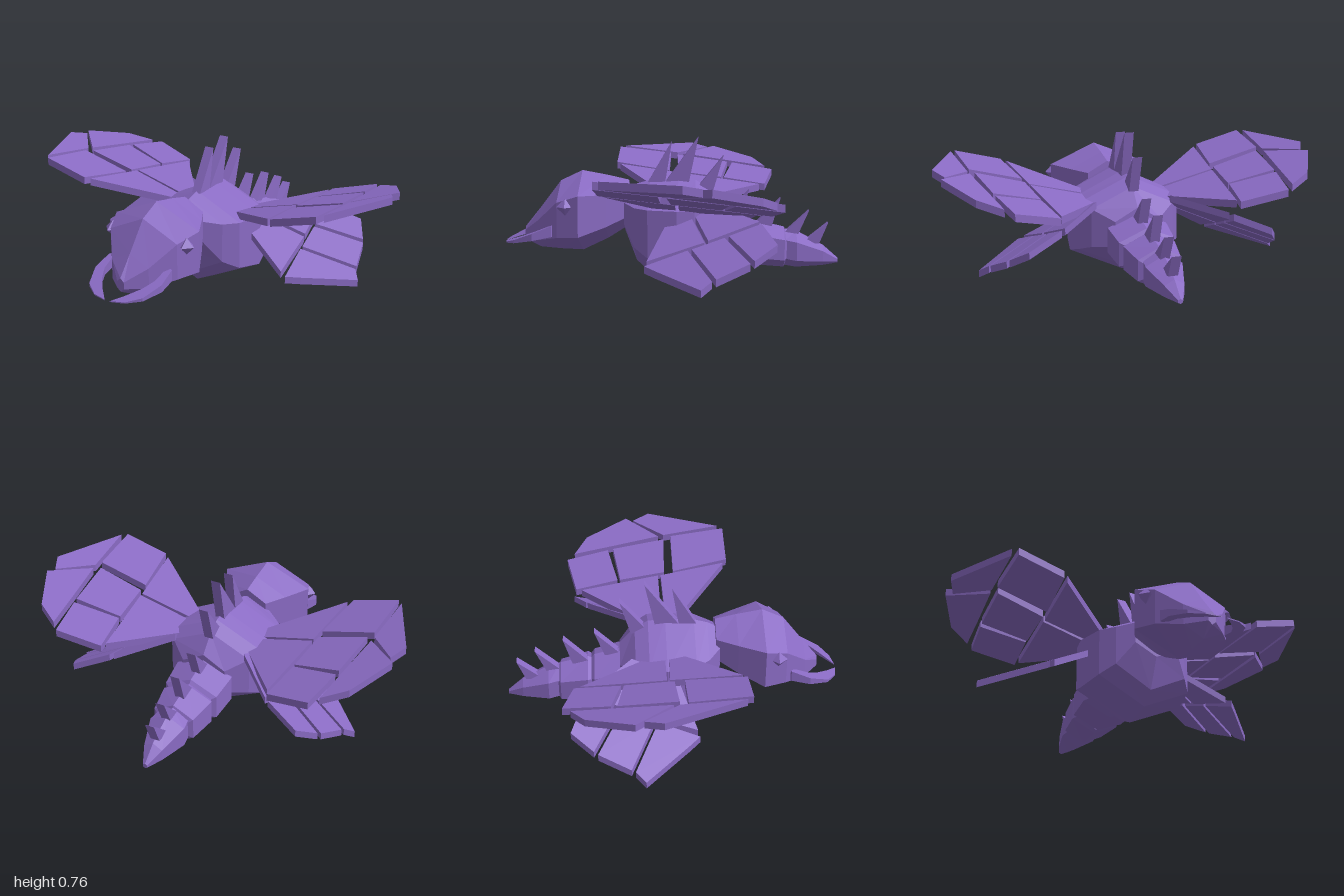
import * as THREE from 'three';

const purple = new THREE.MeshStandardMaterial({ color: 0x8a6bc4, flatShading: true });
purple.name = 'purple';

function add(group, name, geometry) {
  const mesh = new THREE.Mesh(geometry, purple);
  mesh.name = name;
  group.add(mesh);
}

// Six-sided body section along z; each ring is [z, top, bottom, halfWidth], front first
function loft(rings) {
  const pos = [];
  const corners = rings.map(([z, top, bot, w]) => {
    const q = (top - bot) / 4;
    return [[0, top, z], [w, top - q, z], [w, bot + q, z],
      [0, bot, z], [-w, bot + q, z], [-w, top - q, z]];
  });
  const tri = (a, b, c) => pos.push(...a, ...b, ...c);
  for (let r = 0; r < corners.length - 1; r++) {
    const f = corners[r], b = corners[r + 1];
    for (let i = 0; i < 6; i++) {
      const j = (i + 1) % 6;
      tri(f[i], f[j], b[i]);
      tri(f[j], b[j], b[i]);
    }
  }
  const first = corners[0], last = corners[corners.length - 1];
  for (let i = 1; i < 5; i++) {
    tri(first[0], first[i + 1], first[i]);
    tri(last[0], last[i], last[i + 1]);
  }
  const g = new THREE.BufferGeometry();
  g.setAttribute('position', new THREE.Float32BufferAttribute(pos, 3));
  g.computeVertexNormals();
  return g;
}

// Flat plate from an (x, z) outline, lifted onto a sloping surface
function plate(outline, side, thickness, height, taper = () => 1) {
  const shape = new THREE.Shape(outline.map(([x, z]) => new THREE.Vector2(x * side, z)));
  const g = new THREE.ExtrudeGeometry(shape, { depth: thickness, bevelEnabled: false });
  g.rotateX(Math.PI / 2);
  const p = g.attributes.position;
  for (let i = 0; i < p.count; i++) {
    const x = Math.abs(p.getX(i)), z = p.getZ(i);
    p.setY(i, p.getY(i) * taper(z) + height(x, z));
  }
  g.computeVertexNormals();
  return g;
}

const upperWing = [
  [[0.2, 0.05], [0.54, 0.31], [0.5, -0.04], [0.2, -0.03]],
  [[0.2, -0.05], [0.5, -0.055], [0.455, -0.48], [0.2, -0.17]],
  [[0.52, 0.03], [0.565, 0.33], [0.81, 0.33], [0.795, 0.03]],
  [[0.5, -0.265], [0.52, -0.02], [0.775, -0.01], [0.745, -0.3]],
  [[0.7, -0.56], [0.465, -0.51], [0.5, -0.28], [0.74, -0.33]],
  [[0.74, -0.52], [0.86, -0.45], [0.98, -0.22], [0.805, -0.04], [0.77, -0.29]],
  [[0.955, -0.18], [1.0, -0.09], [0.835, 0.3], [0.81, -0.01]],
];
const lowerWing = [
  [[0.22, 0], [0.5, 0.1], [0.475, -0.18], [0.22, -0.1]],
  [[0.22, -0.12], [0.47, -0.2], [0.43, -0.45], [0.2, -0.22]],
  [[0.53, 0.11], [0.59, 0.05], [0.8, -0.17], [0.76, -0.22], [0.5, -0.1]],
  [[0.5, -0.12], [0.755, -0.24], [0.71, -0.4], [0.48, -0.28]],
  [[0.475, -0.3], [0.7, -0.42], [0.63, -0.53], [0.45, -0.46]],
];
const mandible = [[0.16, 0.6], [0.19, 0.61], [0.2, 0.71], [0.16, 0.81],
  [0.09, 0.86], [0.015, 0.875], [0.07, 0.82], [0.12, 0.76], [0.15, 0.7]];

export function createModel() {
  const model = new THREE.Group();

  // Body
  add(model, 'head', loft([
    [0.77, 0.28, 0.21, 0.02], [0.69, 0.38, 0.17, 0.11], [0.58, 0.525, 0.16, 0.2],
    [0.465, 0.58, 0.155, 0.25], [0.33, 0.555, 0.22, 0.175], [0.22, 0.53, 0.29, 0.11]]));
  add(model, 'thorax', loft([
    [0.24, 0.48, 0.26, 0.12], [0.18, 0.51, 0.1, 0.2], [0.11, 0.53, 0.035, 0.26],
    [-0.04, 0.54, 0, 0.29], [-0.13, 0.53, 0.04, 0.27], [-0.2, 0.49, 0.09, 0.22],
    [-0.28, 0.4, 0.14, 0.12]]));
  add(model, 'abdomenFront', loft([
    [-0.24, 0.36, 0.12, 0.14], [-0.27, 0.37, 0.11, 0.157], [-0.415, 0.33, 0.085, 0.145],
    [-0.44, 0.3, 0.11, 0.11]]));
  add(model, 'abdomenMiddle', loft([
    [-0.425, 0.31, 0.09, 0.12], [-0.45, 0.32, 0.08, 0.135], [-0.595, 0.285, 0.07, 0.11],
    [-0.61, 0.25, 0.1, 0.08]]));
  add(model, 'abdomenTail', loft([
    [-0.6, 0.275, 0.08, 0.085], [-0.66, 0.265, 0.07, 0.095], [-0.8, 0.19, 0.08, 0.05],
    [-0.88, 0.12, 0.095, 0.012]]));

  // Row of back spikes: [front z, rear z, base y, tip z, tip y]
  const spikes = [
    [0.12, 0.03, 0.52, -0.005, 0.735], [0.03, -0.095, 0.52, -0.145, 0.76],
    [-0.12, -0.22, 0.47, -0.275, 0.66], [-0.27, -0.36, 0.34, -0.41, 0.48],
    [-0.43, -0.53, 0.29, -0.575, 0.44], [-0.59, -0.67, 0.25, -0.725, 0.375],
    [-0.69, -0.78, 0.2, -0.825, 0.31]];
  for (const [front, rear, base, tipZ, tipY] of spikes) {
    const shape = new THREE.Shape([
      new THREE.Vector2(front, base), new THREE.Vector2(tipZ, tipY), new THREE.Vector2(rear, base)]);
    const g = new THREE.ExtrudeGeometry(shape, { depth: 0.05, bevelEnabled: false });
    add(model, 'backSpike', g.translate(0, 0, -0.025).rotateY(-Math.PI / 2).scale(-1, 1, -1)
      .rotateY(Math.PI));
  }

  // Mirrored parts
  for (const side of [1, -1]) {
    const label = side > 0 ? 'left' : 'right';
    const eye = new THREE.OctahedronGeometry(1).scale(0.042, 0.043, 0.047);
    add(model, label + 'Eye', eye.translate(side * 0.223, 0.415, 0.532));
    add(model, label + 'Mandible', plate(mandible, side, 0.06,
      (x, z) => 0.315 - 0.4 * (z - 0.6), z => Math.max(0.08, 1 - (z - 0.6) / 0.29)));

    const upper = new THREE.Group();
    upper.name = label + 'UpperWing';
    for (const outline of upperWing) {
      add(upper, 'wingPlate', plate(outline, side, 0.038,
        (x, z) => 0.44 + 0.26 * (x - 0.23) + 0.1 * z));
    }
    const lower = new THREE.Group();
    lower.name = label + 'LowerWing';
    for (const outline of lowerWing) {
      add(lower, 'wingPlate', plate(outline, side, 0.036,
        (x, z) => 0.47 - 0.5 * x - 0.28 * z));
    }
    model.add(upper, lower);
  }
  return model;
}
